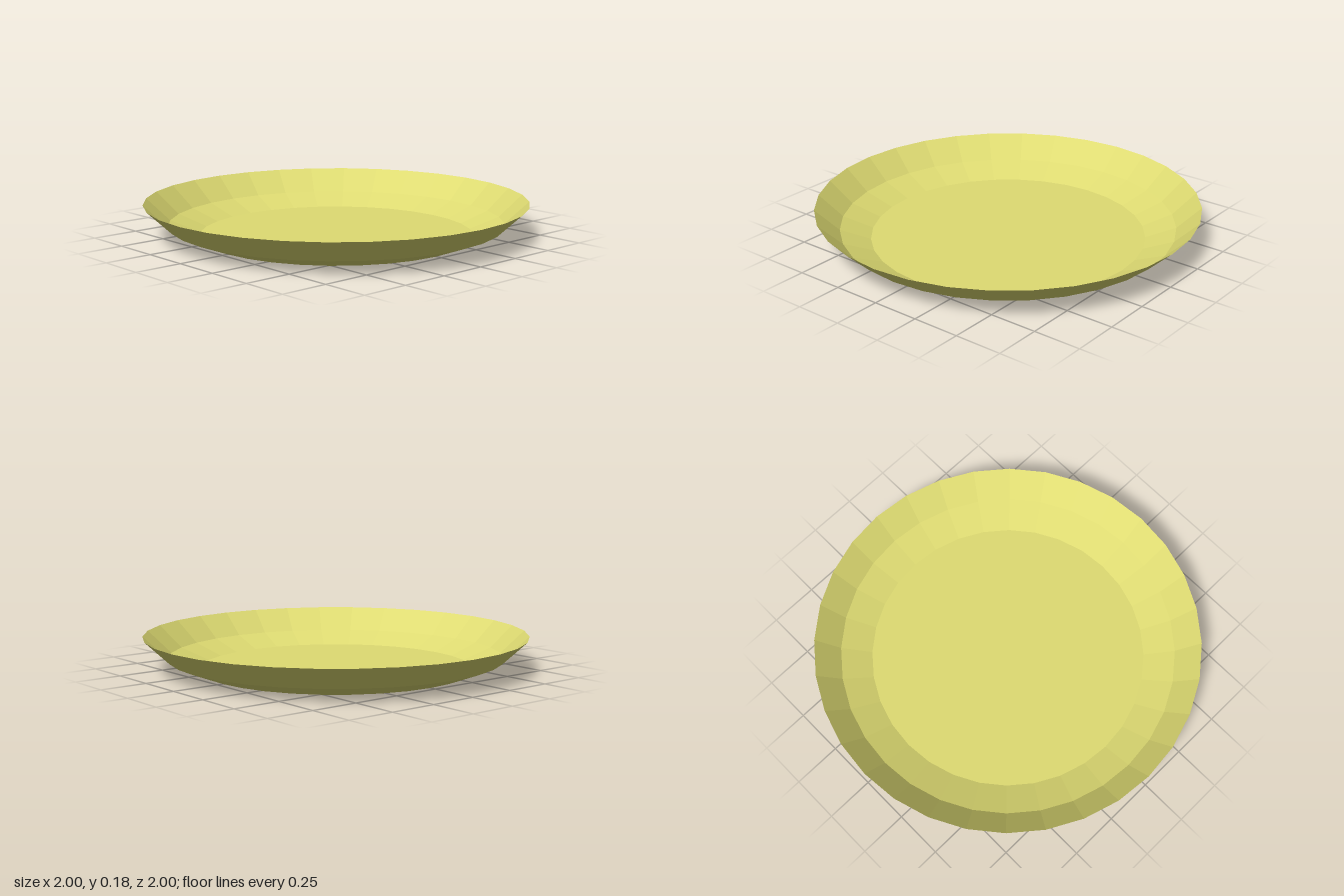
import * as THREE from 'three';

const SIDES = 32;

export function createModel() {
  const group = new THREE.Group();
  group.name = 'plate';
  const material = new THREE.MeshStandardMaterial({
    color: 0xdedb72, flatShading: true, side: THREE.DoubleSide,
  });

  // flat round base
  const base = new THREE.Mesh(new THREE.CircleGeometry(0.717, SIDES), material);
  base.geometry.rotateX(-Math.PI / 2);
  base.name = 'base';
  group.add(base);

  // thin wall: shallow lower slope, then steeper flared rim
  const profile = [[0.717, 0], [0.875, 0.06], [1, 0.177]].map(([r, y]) => new THREE.Vector2(r, y));
  const rim = new THREE.Mesh(new THREE.LatheGeometry(profile, SIDES), material);
  rim.name = 'rim';
  group.add(rim);

  return group;
}
